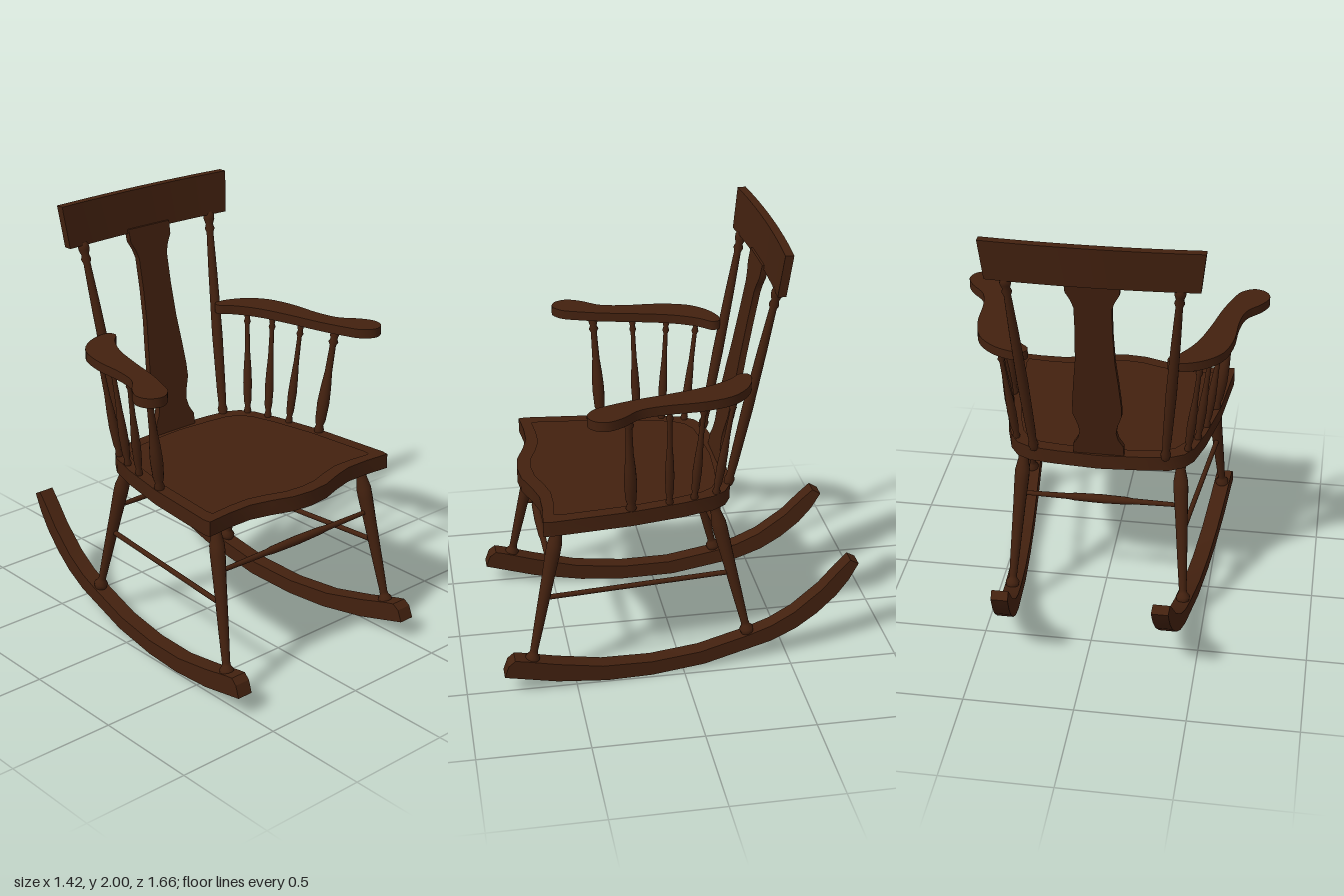
import * as THREE from 'three';
import { toCreasedNormals } from 'three/addons/utils/BufferGeometryUtils.js';

const wood = new THREE.MeshStandardMaterial({ color: 0x43210f });
wood.name = 'dark walnut';

const v3 = (x, y, z) => new THREE.Vector3(x, y, z);

function part(name, geometry) {
  const mesh = new THREE.Mesh(geometry, wood);
  mesh.name = name;
  return mesh;
}

// Lathe-turned stick between two points; profile rows are [fraction of length, radius]
function turned(name, from, to, profile) {
  const dir = to.clone().sub(from);
  const pts = profile.map(([t, r]) => new THREE.Vector2(r, t * dir.length()));
  const mesh = part(name, new THREE.LatheGeometry(pts, 14));
  mesh.position.copy(from);
  mesh.quaternion.setFromUnitVectors(v3(0, 1, 0), dir.normalize());
  return mesh;
}

// Outline through points, smoothed as a closed curve when wanted
function outline(points, smooth) {
  const pts = points.map(([a, b]) => new THREE.Vector2(a, b));
  if (!smooth) return new THREE.Shape(pts);
  const curve = new THREE.CatmullRomCurve3(pts.map(p => v3(p.x, p.y, 0)), true);
  return new THREE.Shape(curve.getPoints(64).slice(0, -1).map(p => new THREE.Vector2(p.x, p.y)));
}

const extrude = (shape, depth) => new THREE.ExtrudeGeometry(shape, { depth, bevelEnabled: false });

// Horizontal board: outline in x and z, between two heights
function board(shape, y0, y1) {
  return toCreasedNormals(extrude(shape, y1 - y0).rotateX(Math.PI / 2).translate(0, y1, 0), 0.5);
}

// Move every vertex by a rule
function reshape(geometry, rule) {
  const p = geometry.attributes.position;
  const v = v3();
  for (let i = 0; i < p.count; i++) {
    v.fromBufferAttribute(p, i);
    rule(v);
    p.setXYZ(i, v.x, v.y, v.z);
  }
  return toCreasedNormals(geometry, 0.5);
}

const mirrored = half => [...half, ...half.slice().reverse().filter(p => p[0] > 0).map(([x, z]) => [-x, z])];

const LEG = [[0, 0.022], [0.03, 0.03], [0.055, 0.033], [0.08, 0.02], [0.1, 0.018], [0.3, 0.023],
  [0.6, 0.029], [0.78, 0.034], [0.84, 0.034], [0.92, 0.023], [0.95, 0.028], [0.97, 0.028], [1, 0.022]];
const POST = [[0, 0.018], [0.03, 0.024], [0.05, 0.018], [0.12, 0.021], [0.4, 0.025], [0.7, 0.021],
  [0.9, 0.016], [0.92, 0.023], [0.94, 0.017], [0.965, 0.025], [0.985, 0.025], [1, 0.018]];
const SPINDLE = [[0, 0.55], [0.04, 0.85], [0.08, 0.6], [0.13, 0.85], [0.3, 1], [0.45, 0.85], [0.6, 0.6],
  [0.85, 0.5], [0.88, 0.8], [0.91, 0.55], [0.95, 0.75], [1, 0.6]];
const RAIL = [[0, 0.01], [0.15, 0.012], [0.3, 0.014], [0.34, 0.018], [0.5, 0.021], [0.66, 0.018],
  [0.7, 0.014], [0.85, 0.012], [1, 0.01]];
const ROD = [[0, 0.012], [1, 0.012]];

// Rocker runner outline in z and y
const RUNNER = [[0.83, 0.1], [0.59, 0.04], [0.36, 0.007], [0.15, 0], [-0.1, 0.018], [-0.42, 0.09], [-0.54, 0.14],
  [-0.64, 0.205], [-0.73, 0.285], [-0.79, 0.36], [-0.835, 0.44], [-0.795, 0.463], [-0.74, 0.41], [-0.66, 0.325],
  [-0.53, 0.225], [-0.42, 0.17], [-0.31, 0.137], [-0.08, 0.085], [0.15, 0.07], [0.38, 0.085], [0.59, 0.13],
  [0.74, 0.17], [0.78, 0.178], [0.81, 0.155]];

// Armrest outline in x and z
const ARM = [[0.32, -0.31], [0.37, -0.315], [0.46, -0.28], [0.54, -0.2], [0.58, -0.065], [0.59, 0.11], [0.615, 0.22],
  [0.68, 0.3], [0.71, 0.37], [0.69, 0.425], [0.635, 0.447], [0.575, 0.41], [0.54, 0.33], [0.505, 0.22],
  [0.465, 0.045], [0.42, -0.11], [0.36, -0.22], [0.31, -0.275]];

// Spindle rows: bottom x, bottom z, top x, top z, radius
const SPINDLES = [[0.485, 0.24, 0.56, 0.26, 0.029], [0.458, 0.065, 0.52, 0.075, 0.021],
  [0.43, -0.05, 0.485, -0.085, 0.021], [0.395, -0.155, 0.45, -0.225, 0.021]];

// Seat half outline, from the front middle round to the back middle
const SEAT = [[0, 0.695], [0.1, 0.685], [0.2, 0.65], [0.3, 0.624], [0.42, 0.624], [0.54, 0.635], [0.545, 0.6],
  [0.51, 0.24], [0.465, 0], [0.425, -0.14], [0.385, -0.2], [0.32, -0.235], [0.2, -0.25], [0, -0.264]];

function addSeat(chair) {
  const edge = mirrored(SEAT);
  const rim = outline(edge);
  rim.holes.push(outline(edge.map(([x, z]) => [x * 0.88, 0.2 + (z - 0.2) * 0.87])));
  chair.add(part('seat', board(outline(edge), 0.8, 0.862)));
  chair.add(part('seatRim', board(rim, 0.862, 0.87)));
}

function addBack(chair) {
  // Vase-shaped splat, leaning back
  const half = [[0.115, 0.86], [0.115, 0.92], [0.092, 0.96], [0.083, 1.0], [0.09, 1.04], [0.11, 1.1], [0.11, 1.16],
    [0.1, 1.28], [0.088, 1.4], [0.082, 1.55], [0.082, 1.69], [0.095, 1.73], [0.117, 1.77], [0.12, 1.83]];
  const splat = extrude(outline(mirrored(half)), 0.03);
  chair.add(part('splat', reshape(splat, v => { v.z += -0.25 - 0.195 * (v.y - 0.87); })));

  // Crest rail, bowed backwards and widening towards the top
  const xs = Array.from({ length: 13 }, (_, i) => -0.46 + i * 0.92 / 12);
  const bow = x => -0.415 + 0.018 * (x / 0.46) ** 2;
  const band = [...xs.map(x => [x, bow(x)]), ...xs.slice().reverse().map(x => [x, bow(x) - 0.038])];
  chair.add(part('crestRail', reshape(board(outline(band), 1.81, 2), v => {
    const t = (v.y - 1.81) / 0.19;
    v.x *= 1 + 0.043 * t;
    v.z -= 0.024 * t;
  })));
}

function addSide(chair, s, side) {
  const name = n => side + n;

  // Runner, toed in towards the back
  const runner = extrude(outline(RUNNER), 0.076).rotateY(-Math.PI / 2).translate(0.038, 0, 0);
  chair.add(part(name('Rocker'), reshape(runner, v => { v.x += s * (0.432 + 0.0916 * v.z); })));

  // Legs and side stretcher
  chair.add(turned(name('FrontLeg'), v3(s * 0.5, 0.13, 0.705), v3(s * 0.44, 0.82, 0.555), LEG));
  chair.add(turned(name('BackLeg'), v3(s * 0.408, 0.12, -0.315), v3(s * 0.362, 0.82, -0.148), LEG));
  chair.add(turned(name('Stretcher'), v3(s * 0.385, 0.453, -0.23), v3(s * 0.47, 0.453, 0.63), ROD));

  // Back post
  chair.add(turned(name('BackPost'), v3(s * 0.302, 0.86, -0.23), v3(s * 0.374, 1.82, -0.42), POST));

  // Armrest and its spindles
  const arm = outline(ARM.map(([x, z]) => [s * x, z]), true);
  chair.add(part(name('Armrest'), board(arm, 1.362, 1.405)));
  SPINDLES.forEach(([x0, z0, x1, z1, r], i) => {
    const profile = SPINDLE.map(([t, k]) => [t, k * r]);
    chair.add(turned(name('ArmSpindle' + (i + 1)), v3(s * x0, 0.86, z0), v3(s * x1, 1.37, z1), profile));
  });
}

export function createModel() {
  const chair = new THREE.Group();
  chair.name = 'rockingChair';
  addSeat(chair);
  addBack(chair);
  addSide(chair, 1, 'left');
  addSide(chair, -1, 'right');

  // Cross stretchers between the front legs and between the back legs
  chair.add(turned('frontStretcher', v3(-0.455, 0.595, 0.603), v3(0.455, 0.595, 0.603), RAIL));
  chair.add(turned('backStretcher', v3(-0.375, 0.595, -0.2), v3(0.375, 0.595, -0.2), RAIL));
  return chair;
}
